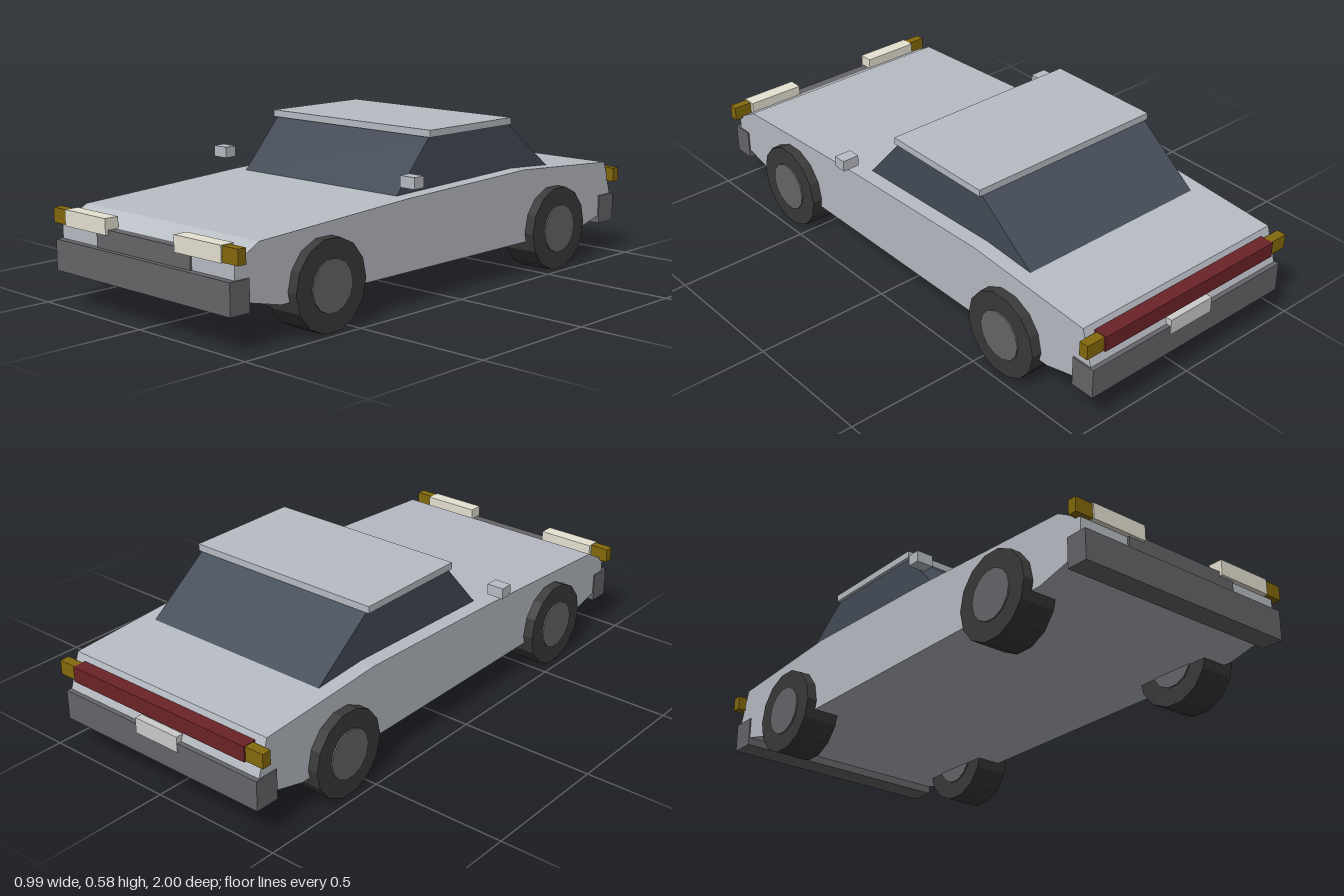
import * as THREE from 'three';

const mat = (color) => new THREE.MeshStandardMaterial({ color, flatShading: true });

export function createModel() {
  const car = new THREE.Group();
  car.name = 'car';

  const paint = mat(0xb8bcc4);
  const glass = mat(0x444c58);
  const trim = mat(0x66666a);
  const rubber = mat(0x3a3a3a);
  const lampWhite = mat(0xe6e2d2);
  const amber = mat(0x84690c);
  const red = mat(0x6c2428);
  const plateGrey = mat(0xcccccc);

  function add(name, geometry, material) {
    const mesh = new THREE.Mesh(geometry, material);
    mesh.name = name;
    car.add(mesh);
    return mesh;
  }

  // Box given by its lower and upper limits on each axis
  function box(name, material, [x0, x1], [y0, y1], [z0, z1]) {
    const g = new THREE.BoxGeometry(x1 - x0, y1 - y0, z1 - z0);
    g.translate((x0 + x1) / 2, (y0 + y1) / 2, (z0 + z1) / 2);
    return add(name, g, material);
  }

  // Side profile in (z, y), extruded across the width
  function profile(name, material, points, halfWidth) {
    const shape = new THREE.Shape(points.map(([z, y]) => new THREE.Vector2(-z, y)));
    const g = new THREE.ExtrudeGeometry(shape, { depth: halfWidth * 2, bevelEnabled: false });
    g.translate(0, 0, -halfWidth);
    g.rotateY(Math.PI / 2);
    return add(name, g, material);
  }

  // Body shell and cabin
  profile('body', paint, [
    [0.785, 0.12], [0.975, 0.165], [0.975, 0.28], [0.875, 0.335], [0.195, 0.372],
    [-0.43, 0.39], [-0.94, 0.357], [-0.98, 0.23], [-0.96, 0.165], [-0.785, 0.12],
  ], 0.432);
  profile('cabinGlass', glass, [
    [0.195, 0.36], [0.195, 0.372], [0.03, 0.557], [-0.4, 0.557], [-0.64, 0.376], [-0.64, 0.36],
  ], 0.375);
  box('roof', paint, [-0.387, 0.387], [0.555, 0.58], [-0.405, 0.04]);

  // Bumpers, grille, rear lamp bar and plate
  box('frontBumper', trim, [-0.437, 0.437], [0.122, 0.23], [0.92, 1]);
  box('rearBumper', trim, [-0.437, 0.437], [0.122, 0.23], [-0.997, -0.905]);
  box('grille', trim, [-0.235, 0.235], [0.225, 0.296], [0.93, 0.982]);
  box('tailLampBar', red, [-0.39, 0.39], [0.28, 0.336], [-0.998, -0.945]);
  box('numberPlate', plateGrey, [-0.095, 0.095], [0.198, 0.255], [-1, -0.97]);

  for (const side of [1, -1]) {
    const across = (a, b) => (side > 0 ? [a, b] : [-b, -a]);
    const label = side > 0 ? 'left' : 'right';

    // Lamps and mirrors
    box(label + 'Headlight', lampWhite, across(0.173, 0.392), [0.28, 0.336], [0.94, 0.993]);
    box(label + 'FrontIndicator', amber, across(0.388, 0.462), [0.282, 0.334], [0.955, 0.988]);
    box(label + 'RearIndicator', amber, across(0.388, 0.462), [0.282, 0.334], [-0.992, -0.957]);
    box(label + 'Mirror', paint, across(0.432, 0.496), [0.416, 0.456], [0.195, 0.243]);

    // Wheels: tyre with a slightly wider hub disc
    for (const [end, z] of [['Front', 0.6], ['Rear', -0.6]]) {
      const wheel = new THREE.Group();
      wheel.name = label + end + 'Wheel';
      for (const [part, radius, width, material] of [
        ['tyre', 0.157, 0.134, rubber], ['hub', 0.09, 0.145, trim],
      ]) {
        const g = new THREE.CylinderGeometry(radius, radius, width, 14);
        g.rotateZ(Math.PI / 2);
        const mesh = new THREE.Mesh(g, material);
        mesh.name = part;
        wheel.add(mesh);
      }
      wheel.position.set(side * 0.402, 0.153, z);
      car.add(wheel);
    }
  }
  return car;
}
